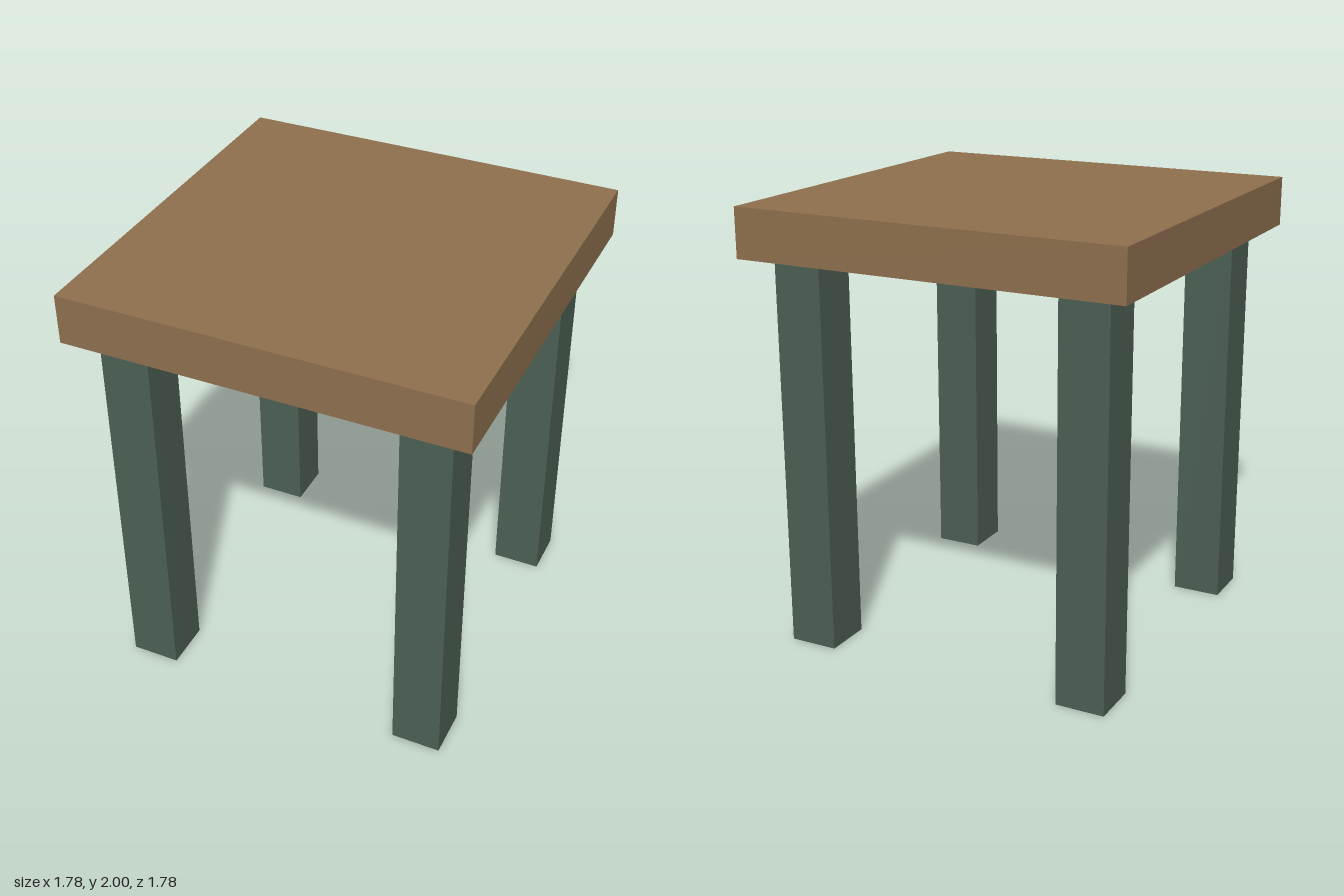
import * as THREE from 'three';

const U = 2 / 9; // one unit: leg width and top thickness

export function createModel() {
  const model = new THREE.Group();
  model.name = 'table';
  const wood = new THREE.MeshStandardMaterial({ color: 0x8f704e });
  const green = new THREE.MeshStandardMaterial({ color: 0x4c6054 });

  const addBox = (name, w, h, d, x, y, z, material) => {
    const mesh = new THREE.Mesh(new THREE.BoxGeometry(w, h, d), material);
    mesh.name = name;
    mesh.position.set(x, y, z);
    model.add(mesh);
  };

  // Square slab top
  addBox('tableTop', 8 * U, U, 8 * U, 0, 8.5 * U, 0, wood);

  // Four square legs, inset from the corners
  for (const [side, sx] of [['Left', 1], ['Right', -1]]) {
    for (const [end, sz] of [['front', 1], ['back', -1]]) {
      addBox(`${end}${side}Leg`, U, 8 * U, U, sx * 3 * U, 4 * U, sz * 3 * U, green);
    }
  }
  return model;
}
